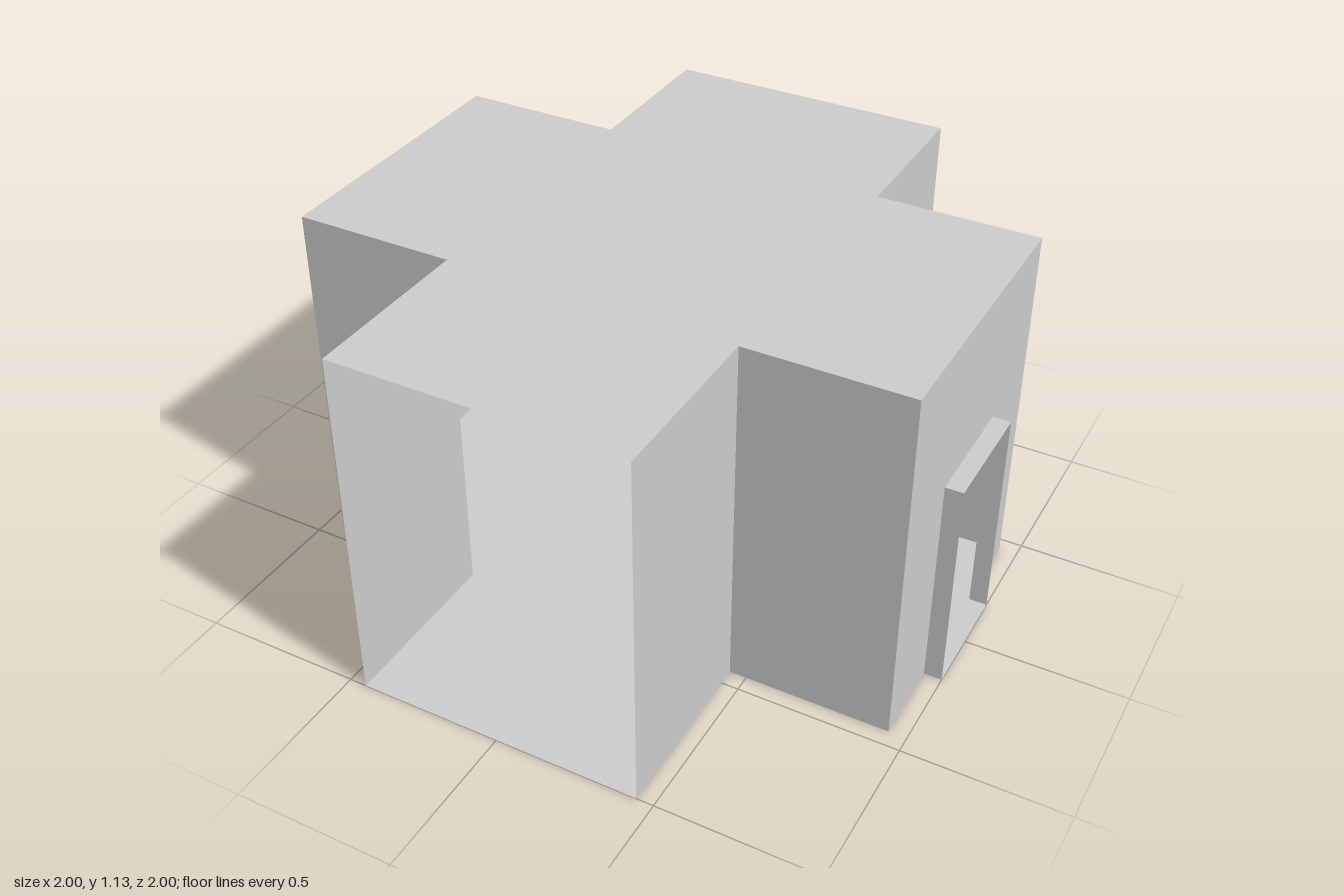
import * as THREE from 'three';

const H = 1.134;      // room height
const W = 0.447;      // half width of each arm
const A = 0.945;      // reach of the arms with a doorway
const E = 1;          // reach of the open front arm and of the door frames
const DW = 0.184;     // half width of a doorway
const DH = 0.685;     // doorway height

const material = new THREE.MeshStandardMaterial({
  color: 0xcccccc, flatShading: true, side: THREE.DoubleSide,
});

function addMesh(parent, name, geometry) {
  const mesh = new THREE.Mesh(geometry, material);
  mesh.name = name;
  parent.add(mesh);
  return mesh;
}

function polygon(points) {
  return new THREE.ShapeGeometry(new THREE.Shape(points.map(([x, y]) => new THREE.Vector2(x, y))));
}

// Thin upright panel between two plan points (x, z), facing right of the path
function addWall(parent, name, [x0, z0], [x1, z1], height = H) {
  const length = Math.hypot(x1 - x0, z1 - z0);
  const wall = addMesh(parent, name, new THREE.PlaneGeometry(length, height));
  wall.position.set((x0 + x1) / 2, height / 2, (z0 + z1) / 2);
  wall.rotation.y = Math.atan2(z0 - z1, x1 - x0);
}

// End wall with a doorway and a projecting frame, built facing +z
function createDoorEnd(name) {
  const end = new THREE.Group();
  end.name = name;
  const wall = addMesh(end, 'doorWall', polygon([
    [-W, 0], [-DW, 0], [-DW, DH], [DW, DH], [DW, 0], [W, 0], [W, H], [-W, H],
  ]));
  wall.position.z = A;
  addWall(end, 'doorJamb', [DW, E], [DW, A], DH);
  addWall(end, 'doorJamb', [-DW, A], [-DW, E], DH);
  for (const [part, y, turn] of [['doorLintel', DH, -1], ['doorThreshold', 0, 1]]) {
    const strip = addMesh(end, part, new THREE.PlaneGeometry(DW * 2, E - A));
    strip.rotation.x = turn * Math.PI / 2;
    strip.position.set(0, y, (A + E) / 2);
  }
  return end;
}

export function createModel() {
  const room = new THREE.Group();
  room.name = 'crossRoom';

  // Cross-shaped plan, counter-clockwise from above as (x, z)
  const plan = [
    [-W, E], [W, E], [W, W], [A, W], [A, -W], [W, -W],
    [W, -A], [-W, -A], [-W, -W], [-A, -W], [-A, W], [-W, W],
  ];

  // Floor and roof
  const roof = addMesh(room, 'roof', polygon(plan.map(([x, z]) => [x, -z])));
  roof.rotation.x = -Math.PI / 2;
  roof.position.y = H;
  const floor = addMesh(room, 'floor', polygon(plan));
  floor.rotation.x = Math.PI / 2;

  // Side walls of the arms; the front end stays open and door ends come below
  for (const i of [1, 2, 4, 5, 7, 8, 10, 11]) {
    addWall(room, 'sideWall', plan[i], plan[(i + 1) % plan.length]);
  }

  // Doorways on the left, back and right ends
  ['leftDoorEnd', 'backDoorEnd', 'rightDoorEnd'].forEach((name, i) => {
    const end = createDoorEnd(name);
    end.rotation.y = (i + 1) * Math.PI / 2;
    room.add(end);
  });

  return room;
}
